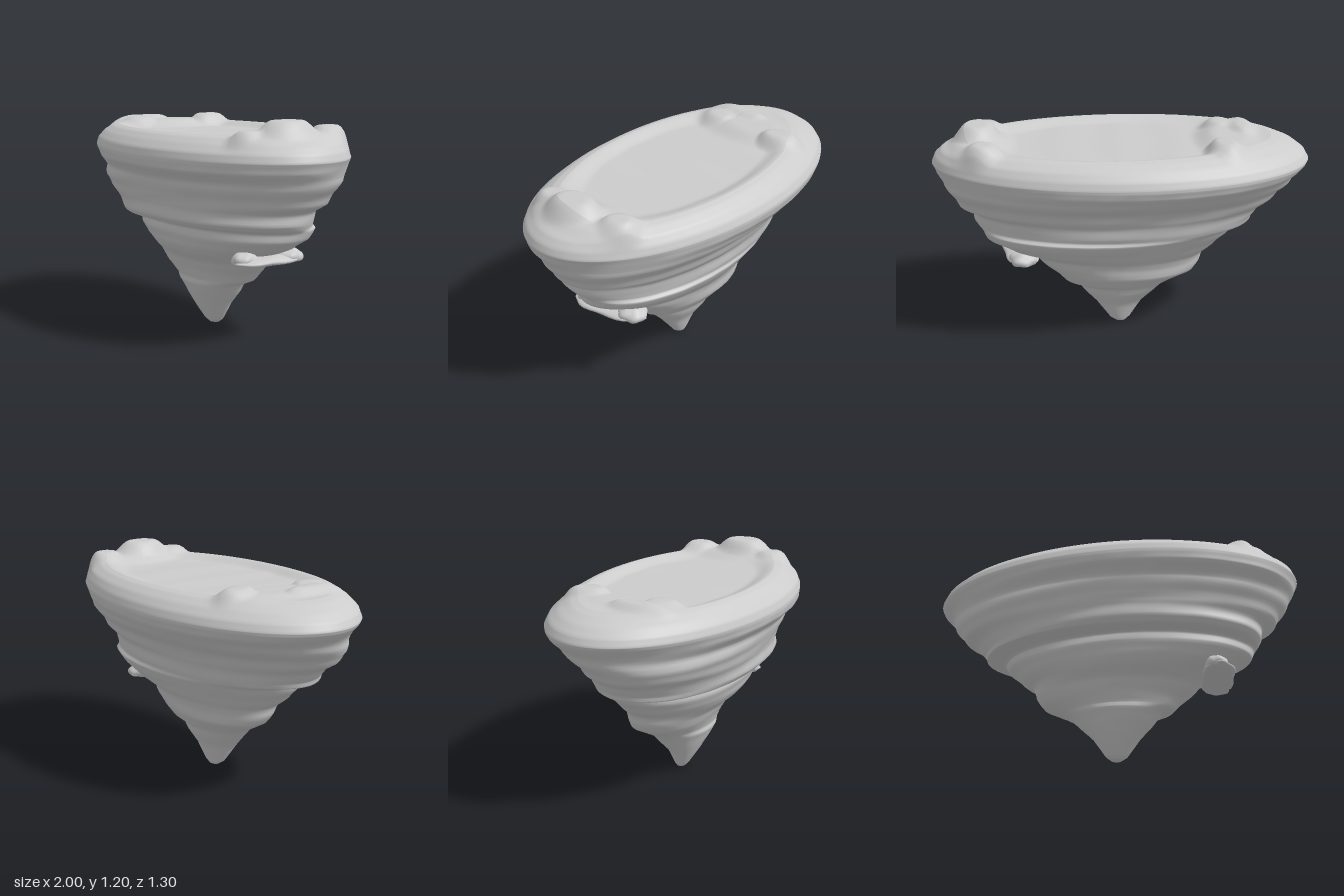
import * as THREE from 'three';

const material = new THREE.MeshStandardMaterial({ color: 0xcccccc, roughness: 0.9 });
const { smoothstep, lerp } = THREE.MathUtils;
const SEGMENTS = 160;

// Terraced silhouette: y, then the reach towards -x, +x, -z, +z
const LEVELS = [
  [0.00, 0.03, 0.03, 0.02, 0.03],
  [0.02, 0.06, 0.06, 0.03, 0.05],
  [0.12, 0.13, 0.13, 0.07, 0.12],
  [0.20, 0.20, 0.20, 0.13, 0.17],
  [0.25, 0.25, 0.24, 0.16, 0.20],
  [0.28, 0.29, 0.31, 0.19, 0.20],
  [0.34, 0.40, 0.37, 0.26, 0.23],
  [0.40, 0.44, 0.44, 0.27, 0.27],
  [0.45, 0.46, 0.49, 0.29, 0.34],
  [0.50, 0.53, 0.63, 0.33, 0.39],
  [0.56, 0.59, 0.73, 0.37, 0.42],
  [0.61, 0.62, 0.76, 0.41, 0.42],
  [0.63, 0.73, 0.77, 0.42, 0.49],
  [0.66, 0.73, 0.78, 0.43, 0.52],
  [0.72, 0.79, 0.80, 0.45, 0.52],
  [0.76, 0.85, 0.87, 0.47, 0.53],
  [0.82, 0.90, 0.91, 0.51, 0.56],
  [0.88, 0.92, 0.95, 0.58, 0.58],
  [0.94, 0.95, 0.97, 0.63, 0.64],
  [0.98, 0.99, 0.99, 0.65, 0.65],
  [1.00, 1.00, 1.00, 0.65, 0.65],
  [1.04, 0.98, 0.985, 0.63, 0.635],
  [1.08, 0.93, 0.95, 0.585, 0.59],
  [1.11, 0.86, 0.88, 0.53, 0.54],
  [1.12, 0.81, 0.83, 0.49, 0.50],
];

// Mounds on the two ends of the rim: x, z, radius x, radius z, turn, top height
const MOUNDS = [
  [0.73, 0.24, 0.18, 0.37, -0.33, 1.135],
  [0.79, 0.02, 0.12, 0.13, 0.2, 1.165],
  [0.73, 0.29, 0.15, 0.2, -0.3, 1.2],
  [0.63, 0.46, 0.1, 0.13, -0.1, 1.15],
  [-0.56, -0.22, 0.2, 0.37, -0.36, 1.135],
  [-0.43, -0.42, 0.11, 0.16, -0.1, 1.163],
  [-0.6, -0.01, 0.11, 0.14, -0.3, 1.15],
  [-0.68, -0.13, 0.09, 0.23, -0.35, 1.155],
];

// Point on an oval that turns diagonal as it rises
function ovalPoint([y, xMinus, xPlus, zMinus, zPlus], t) {
  const skew = 0.385 * smoothstep(y, -0.1, 0.4);
  const u = Math.cos(t);
  const v = skew * u + Math.sqrt(1 - skew * skew) * Math.sin(t);
  return [
    (xPlus - xMinus) / 2 + u * (xPlus + xMinus) / 2, y,
    (zPlus - zMinus) / 2 + v * (zPlus + zMinus) / 2,
  ];
}

// Adds in-between levels
function refine(levels, steps) {
  const fine = [];
  for (let i = 0; i < (levels.length - 1) * steps; i++) {
    const k = Math.floor(i / steps);
    fine.push(levels[k].map((v, n) => lerp(v, levels[k + 1][n], (i % steps) / steps)));
  }
  return [...fine, levels[levels.length - 1]];
}

function ring(level, shape) {
  return Array.from({ length: SEGMENTS }, (_, j) => shape(ovalPoint(level, j / SEGMENTS * Math.PI * 2)));
}

// Joins rings of points, ordered from the bottom up and then inwards
function skin(rings, name) {
  const index = [];
  for (let i = 0; i < rings.length - 1; i++) {
    for (let j = 0; j < SEGMENTS; j++) {
      const a = i * SEGMENTS + j, b = i * SEGMENTS + (j + 1) % SEGMENTS;
      index.push(a, a + SEGMENTS, b, b, a + SEGMENTS, b + SEGMENTS);
    }
  }
  const geometry = new THREE.BufferGeometry();
  geometry.setAttribute('position', new THREE.Float32BufferAttribute(rings.flat(2), 3));
  geometry.setIndex(index);
  geometry.computeVertexNormals();
  const mesh = new THREE.Mesh(geometry, material);
  mesh.name = name;
  return mesh;
}

// Lifts a point of the rim or floor onto the highest mound over it
function raise([x, y, z]) {
  const reach = smoothstep(y, 1.02, 1.07);
  let height = y;
  for (const [cx, cz, rx, rz, turn, top] of MOUNDS) {
    const c = Math.cos(turn), s = Math.sin(turn);
    const dx = x - cx, dz = z - cz;
    const d = Math.hypot((dx * c - dz * s) / rx, (dx * s + dz * c) / rz);
    height = Math.max(height, lerp(y, top, reach * (1 - smoothstep(d, 0.4, 1.08))));
  }
  return [x, height, z];
}

// Cone with worn horizontal ridges, up to the rounded rim
function terracedBody() {
  const levels = [[0, 0, 0, 0, 0], ...refine(LEVELS, 4)];
  return skin(levels.map((level) => ring(level, ([x, y, z]) => {
    const t = Math.atan2(z, x);
    const fade = smoothstep(y, 0.05, 0.2) * (1 - smoothstep(y, 0.93, 1));
    const ridge = 0.005 * Math.cos((y - 0.66 + 0.006 * Math.sin(3 * t)) * Math.PI * 2 / 0.095);
    const chips = 0.004 * Math.sin(11 * t + 40 * y) * Math.sin(7 * t - 23 * y);
    const k = 1 + fade * (ridge + chips);
    return raise([x * k, y, z * k]);
  })), 'terracedBody');
}

// Shallow floor with soft arcs, sloping up to the rim and mounds
function dishFloor() {
  const inner = LEVELS[LEVELS.length - 1];
  const steps = 40;
  const rings = [];
  for (let k = 0; k <= steps; k++) {
    const s = 1 - k / steps;
    const sink = smoothstep(1 - s, 0, 0.22);
    const level = [inner[0] - 0.03 * sink, ...inner.slice(1).map((r) => r * s)];
    rings.push(ring(level, ([x, y, z]) => {
      const along = x * 0.94 + z * 0.35, across = z * 0.94 - x * 0.35;
      const arc = Math.cos((Math.abs(along) + 0.5 * across * across) * 19);
      return raise([x, y + 0.002 * arc * sink, z]);
    }));
  }
  return skin(rings, 'dishFloor');
}

// Uneven rounded lump with a flat underside
function lump(name, [x, y, z], [rx, ry, rz], turn, base) {
  const geometry = new THREE.SphereGeometry(1, 32, 20);
  const pos = geometry.attributes.position;
  const v = new THREE.Vector3();
  for (let i = 0; i < pos.count; i++) {
    v.fromBufferAttribute(pos, i);
    const k = 1 + 0.09 * Math.sin(4 * v.x + 1) * Math.cos(5 * v.z + 2 * v.y);
    pos.setXYZ(i, v.x * k * rx, Math.max(v.y * k * ry, base - y), v.z * k * rz);
  }
  geometry.computeVertexNormals();
  const mesh = new THREE.Mesh(geometry, material);
  mesh.name = name;
  mesh.position.set(x, y, z);
  mesh.rotation.y = turn;
  return mesh;
}

// Thin ledge sticking out low on the +x side
function sideLedge() {
  const base = 0.432;
  const ledge = new THREE.Group();
  ledge.name = 'sideLedge';
  ledge.add(
    lump('ledgePlate', [0.54, 0.445, 0.2], [0.095, 0.03, 0.22], -0.15, base),
    lump('frontKnob', [0.5, 0.46, 0.34], [0.06, 0.045, 0.075], 0, base),
    lump('backKnob', [0.57, 0.455, 0.06], [0.075, 0.045, 0.08], 0, base),
  );
  return ledge;
}

export function createModel() {
  const model = new THREE.Group();
  model.name = 'taperedOvalRock';
  model.add(terracedBody(), dishFloor(), sideLedge());
  return model;
}
